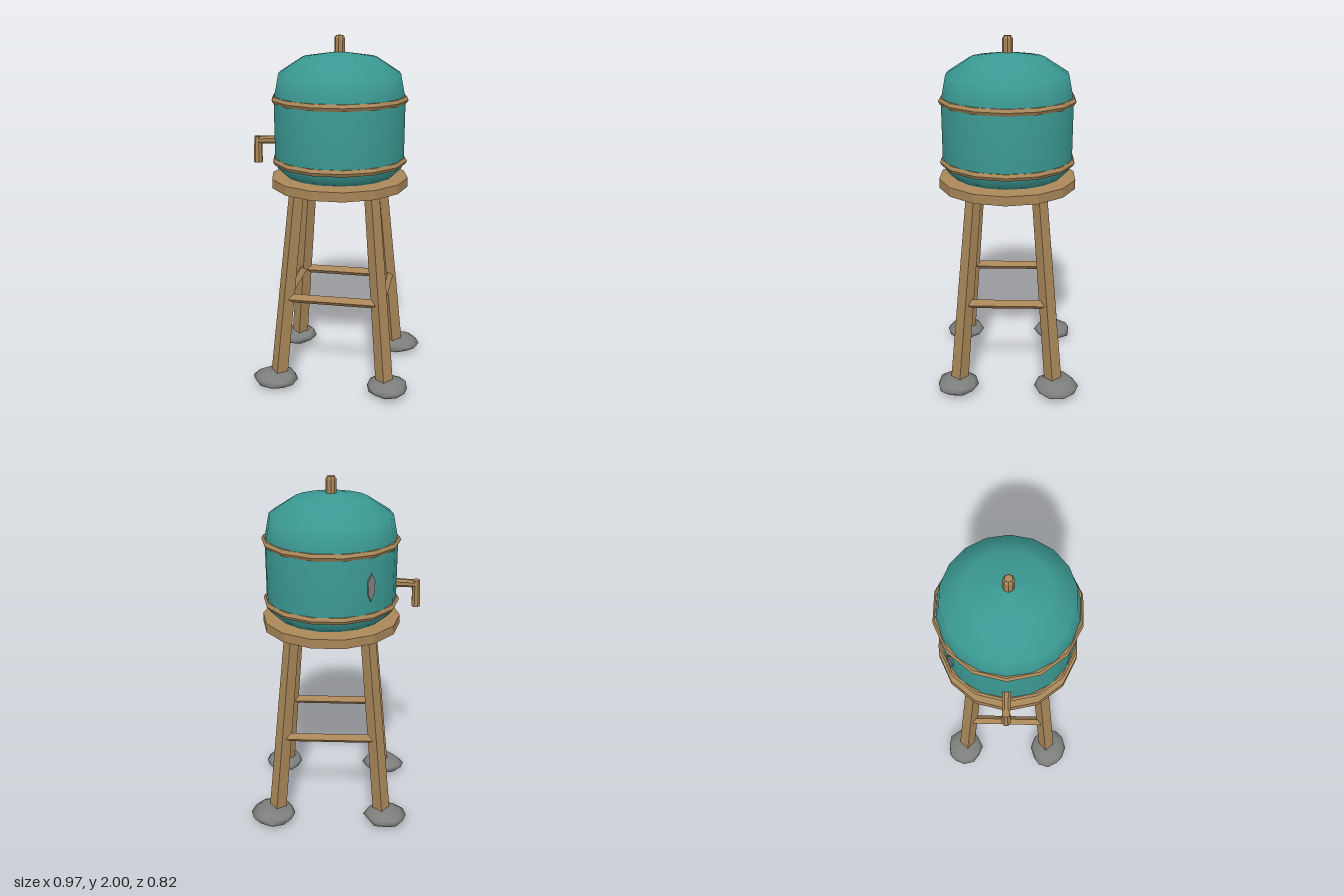
import * as THREE from 'three';
import { mergeVertices } from 'three/addons/utils/BufferGeometryUtils.js';

const mat = (name, color) => {
  const m = new THREE.MeshStandardMaterial({ color });
  m.name = name;
  return m;
};

// Faceted copy of a geometry
const flat = (geo) => {
  const g = geo.index ? geo.toNonIndexed() : geo;
  g.computeVertexNormals();
  return g;
};

const lathe = (points, sides) =>
  new THREE.LatheGeometry(points.map(([r, y]) => new THREE.Vector2(r, y)), sides, Math.PI / 2);

// Straight bar between two points; turn sets the roll of its cross-section
function barGeometry(a, b, r0, r1, sides, turn = 0) {
  const dir = b.clone().sub(a);
  const g = new THREE.CylinderGeometry(r1, r0, dir.length(), sides);
  g.rotateY(turn);
  g.applyQuaternion(new THREE.Quaternion().setFromUnitVectors(new THREE.Vector3(0, 1, 0), dir.normalize()));
  const mid = a.clone().add(b).multiplyScalar(0.5);
  g.translate(mid.x, mid.y, mid.z);
  return flat(g);
}

// Lumpy flattened stone with smooth normals
function stoneGeometry(rx, ry, rz, seed) {
  let s = seed;
  const rand = () => (s = (s * 16807) % 2147483647) / 2147483647;
  let g = new THREE.IcosahedronGeometry(1, 1);
  g.deleteAttribute('normal');
  g.deleteAttribute('uv');
  g = mergeVertices(g, 1e-3);
  const p = g.attributes.position;
  for (let i = 0; i < p.count; i++) {
    const k = 0.9 + 0.16 * rand();
    p.setXYZ(i, p.getX(i) * k * rx, p.getY(i) * k * ry, p.getZ(i) * k * rz);
  }
  g.computeVertexNormals();
  return g;
}

export function createModel() {
  const wood = mat('wood', 0xa88658);
  const teal = mat('teal', 0x3b9993);
  const stone = mat('stone', 0x7d7f7d);
  const V = (x, y, z) => new THREE.Vector3(x, y, z);

  const model = new THREE.Group();
  model.name = 'waterTower';
  const tower = new THREE.Group();
  tower.name = 'tower';
  tower.position.set(0.02, 0, 0.005);
  model.add(tower);
  const add = (name, geo, material, parent = tower) => {
    const m = new THREE.Mesh(geo, material);
    m.name = name;
    parent.add(m);
    return m;
  };

  // Domed tank
  add('tank', lathe([
    [0, 1.232], [0.31, 1.235], [0.352, 1.275], [0.365, 1.33], [0.366, 1.66],
    [0.338, 1.8], [0.205, 1.885], [0, 1.915],
  ], 18), teal);

  // Hoops around the tank
  for (const y of [1.318, 1.66]) {
    const hoop = new THREE.TorusGeometry(0.362, 0.021, 6, 14);
    hoop.rotateX(Math.PI / 2);
    hoop.translate(0, y, 0);
    add('hoop', flat(hoop), wood);
  }

  // Open platform ring
  add('platform', flat(lathe([
    [0.39, 1.17], [0.39, 1.222], [0.3, 1.235], [0.3, 1.17], [0.39, 1.17],
  ], 14)), wood);

  // Roof post with a bevelled top
  add('roofPost', flat(lathe([[0.029, 1.88], [0.029, 1.985], [0.02, 2], [0, 2]], 8)), wood);

  // Spout: a pipe and a downturned end
  add('spoutPipe', barGeometry(V(-0.34, 1.415, 0), V(-0.485, 1.408, 0), 0.025, 0.022, 8, Math.PI / 8), wood);
  add('spoutEnd', barGeometry(V(-0.475, 1.43, 0), V(-0.478, 1.278, 0), 0.022, 0.026, 8, Math.PI / 8), wood);

  // Small grey patch on the back of the tank
  const patchShape = new THREE.Shape(
    [[0, -0.075], [0.022, -0.03], [0.025, 0.035], [0.004, 0.078], [-0.022, 0.035], [-0.018, -0.035]]
      .map(([x, y]) => new THREE.Vector2(x, y)));
  const patch = add('patch', new THREE.ExtrudeGeometry(patchShape, { depth: 0.009, bevelEnabled: false }), stone);
  const dir = THREE.MathUtils.degToRad(53);
  patch.position.set(-0.36 * Math.cos(dir), 1.48, -0.36 * Math.sin(dir));
  patch.rotation.y = Math.atan2(-Math.cos(dir), -Math.sin(dir));

  // Splayed square legs
  const corners = [[1, 1], [1, -1], [-1, -1], [-1, 1]];
  for (const [sx, sz] of corners) {
    const roll = Math.atan2(sx * 0.308, sz * 0.268) + Math.PI / 4;
    add('leg', barGeometry(
      V(sx * 0.312, 0.05, sz * 0.273), V(sx * 0.206, 1.215, sz * 0.176), 0.05, 0.042, 4, roll), wood);
  }

  // Braces joining neighbouring legs
  corners.forEach(([ax, az], i) => {
    const [bx, bz] = corners[(i + 1) % 4];
    add('brace', barGeometry(
      V(ax * 0.272, 0.54, az * 0.236), V(bx * 0.272, 0.54, bz * 0.236), 0.027, 0.027, 4), wood);
  });

  // Footing stones
  [
    [-0.31, -0.282, 0.124, 0.119, 11],
    [0.353, -0.286, 0.13, 0.124, 237],
    [-0.31, 0.29, 0.13, 0.115, 4021],
    [0.348, 0.285, 0.122, 0.117, 90533],
  ].forEach(([x, z, rx, rz, seed]) => {
    add('footingStone', stoneGeometry(rx, 0.047, rz, seed), stone, model).position.set(x, 0.051, z);
  });

  return model;
}
